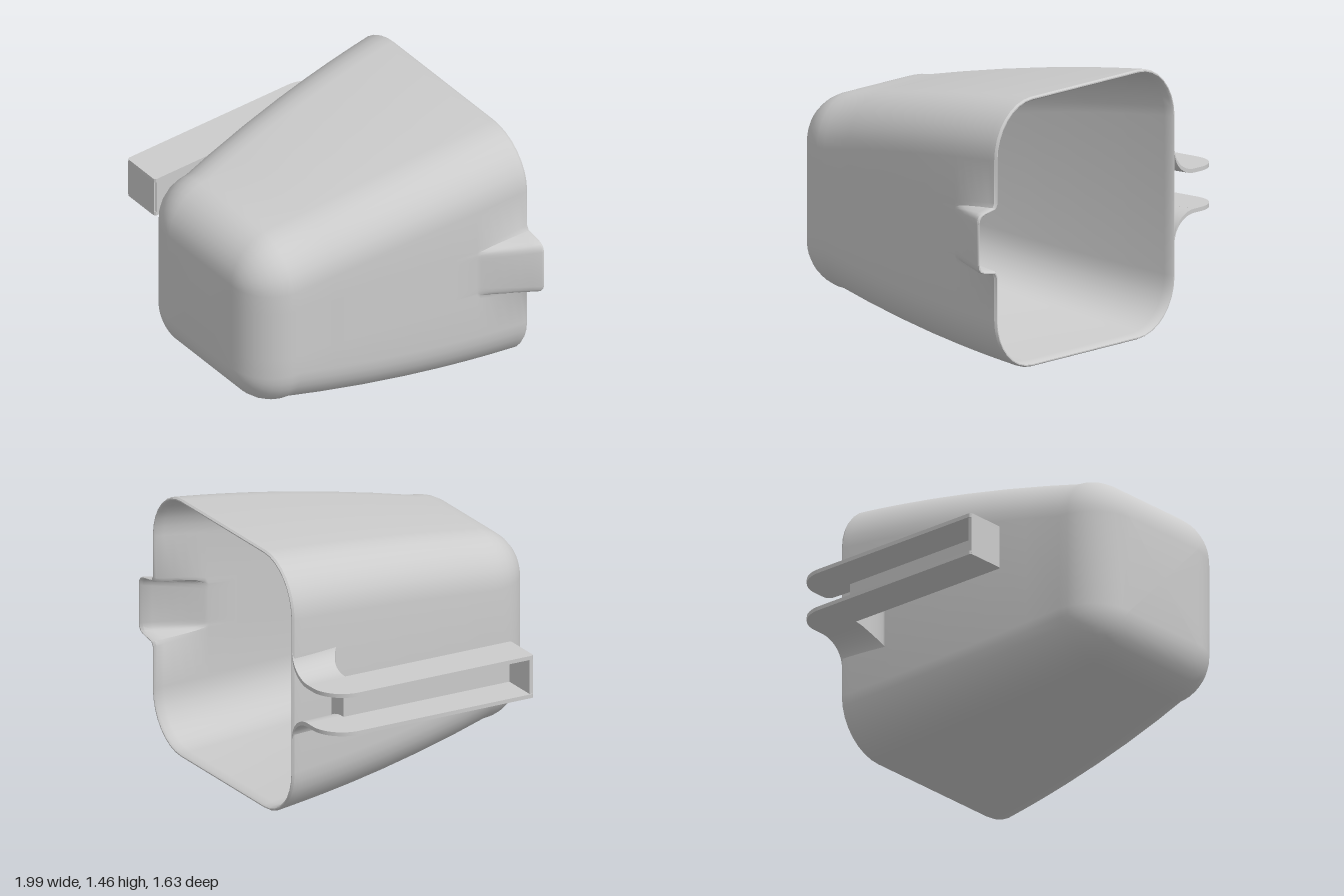
import * as THREE from 'three';
import { toCreasedNormals } from 'three/addons/utils/BufferGeometryUtils.js';

const CX = 0.12, CY = 0.735, RIM = -0.815, BASE = 0.55, T = 0.022;
const material = new THREE.MeshStandardMaterial({ color: 0xcccccc });

// Skin a series of closed rings, each a list of [x, y, z]
function loft(rings, crease) {
  const n = rings[0].length, index = [];
  for (let i = 0; i < rings.length - 1; i++) {
    for (let j = 0; j < n; j++) {
      const a = i * n + j, b = i * n + (j + 1) % n;
      index.push(a, a + n, b, b, a + n, b + n);
    }
  }
  const geo = new THREE.BufferGeometry();
  geo.setAttribute('position', new THREE.Float32BufferAttribute(rings.flat(2), 3));
  geo.setIndex(index);
  return toCreasedNormals(geo, crease);
}

function add(parent, name, geo) {
  const mesh = new THREE.Mesh(geo, material);
  mesh.name = name;
  parent.add(mesh);
  return mesh;
}

// Half width of the gently bowed, tapering body at depth z
function halfAt(z) {
  const s = (z - RIM) / (BASE - RIM);
  return 0.733 - 0.12 * s - 0.078 * s * s;
}

// Spout outline on the +x wall: [share of width, share of height]
const SPOUT = [[-1, 0], [-0.88, 0.1], [-0.8, 0.72], [-0.75, 0.88], [-0.67, 0.97], [-0.55, 1]];
const SPOUT_FULL = [...SPOUT, ...SPOUT.map(([d, f]) => [-d, f]).reverse()];

// Rounded square section, pushed out on the +x side to form the spout
function section(z, half, r, inset = 0) {
  const h = Math.max(0, 1 - (z - RIM) * 0.571 - CX - halfAt(z));
  const k = THREE.MathUtils.clamp((-0.5 - z) / 0.315, 0, 1);
  const a = Math.max(0, half - r);
  const w = Math.min(0.15 + 0.055 * Math.sqrt(k) - inset * 0.6, a * 0.8);
  const ring = SPOUT_FULL.map(([d, f]) => [CX + half + h * f, CY + d * w, z]);
  for (let q = 0; q < 4; q++) {
    const sx = q === 0 || q === 3 ? 1 : -1, sy = q < 2 ? 1 : -1;
    for (let i = 0; i <= 8; i++) {
      const t = (q + i / 8) * Math.PI / 2;
      ring.push([CX + sx * a + r * Math.cos(t), CY + sy * a + r * Math.sin(t), z]);
    }
  }
  return ring;
}

// Rows of one skin from the closed end to just below the rim
function skin(inset) {
  const rows = [section(BASE + 0.265 - inset, 0, 0)];
  const R = 0.265 - inset;
  for (let i = 8; i > 0; i--) {
    const a = i / 8 * Math.PI / 2, r = Math.max(0.006, R * Math.cos(a));
    rows.push(section(BASE + R * Math.sin(a), 0.27 + r, r));
  }
  for (const z of [BASE, 0.35, 0.1, -0.15, -0.35, -0.5, -0.52, -0.57, -0.63, -0.7, -0.76, -0.803]) {
    const r = THREE.MathUtils.mapLinear(z, RIM, BASE, 0.3, 0.265);
    rows.push(section(z, halfAt(z) - inset, r - inset, inset));
  }
  return rows;
}

function cupGeometry() {
  const lip = [0.008, T - 0.008].map(d => section(RIM, halfAt(RIM) - d, 0.3 - d, d));
  return loft([...skin(0), ...lip, ...skin(T).reverse()], 0.6);
}

// Channel-shaped arm that flares into the cup wall
function armGeometry() {
  const rings = [], arc = s => 1 - Math.sqrt(1 - s * s);
  for (let i = 14; i >= 0; i--) {
    const u = Math.sin(i / 14 * Math.PI / 2);
    const Y = 0.12 + 0.14 * arc(u);
    const zw = -0.58 + 0.075 * arc(Math.max(0, (u - 0.35) / 0.65));
    const outline = [
      [RIM, Y], [zw, Y], [zw, -Y], [RIM, -Y],
      [RIM, T - Y], [zw - T, T - Y], [zw - T, Y - T], [RIM, Y - T],
    ];
    rings.push(outline.map(([z, y]) =>
      [THREE.MathUtils.lerp(-0.765, CX - halfAt(z) + 0.008, u), CY + y, z]));
  }
  return loft(rings, 0.6);
}

// Side plate of the grip, with a large outer corner at the rim end
function flangeGeometry() {
  const s = new THREE.Shape();
  s.moveTo(-0.76, RIM);
  s.lineTo(-0.76, 0.425);
  s.absarc(-0.775, 0.425, 0.015, 0, Math.PI / 2, false);
  s.lineTo(-0.985, 0.44);
  s.absarc(-0.985, 0.425, 0.015, Math.PI / 2, Math.PI, false);
  s.lineTo(-1, RIM + 0.18);
  s.absarc(-0.82, RIM + 0.18, 0.18, Math.PI, Math.PI * 1.5, false);
  s.closePath();
  const geo = new THREE.ExtrudeGeometry(s, { depth: T, bevelEnabled: false, curveSegments: 10 });
  geo.rotateX(Math.PI / 2);
  return toCreasedNormals(geo, 0.6);
}

export function createModel() {
  const model = new THREE.Group();
  model.name = 'measuringScoop';
  add(model, 'cupWithSpout', cupGeometry());

  // Handle: open channel facing outwards
  const handle = new THREE.Group();
  handle.name = 'handle';
  model.add(handle);
  add(handle, 'handleArm', armGeometry());
  add(handle, 'upperFlange', flangeGeometry()).position.y = CY + 0.12;
  add(handle, 'lowerFlange', flangeGeometry()).position.y = CY - 0.12 + T;
  const height = 0.24 - T;
  const web = add(handle, 'gripWeb', new THREE.BoxGeometry(T, height, 1.03));
  web.position.set(-0.76 - T / 2, CY, -0.087);
  const end = add(handle, 'gripEnd', new THREE.BoxGeometry(0.225, height, T));
  end.position.set(-0.8805, CY, 0.44 - T / 2);
  return model;
}
